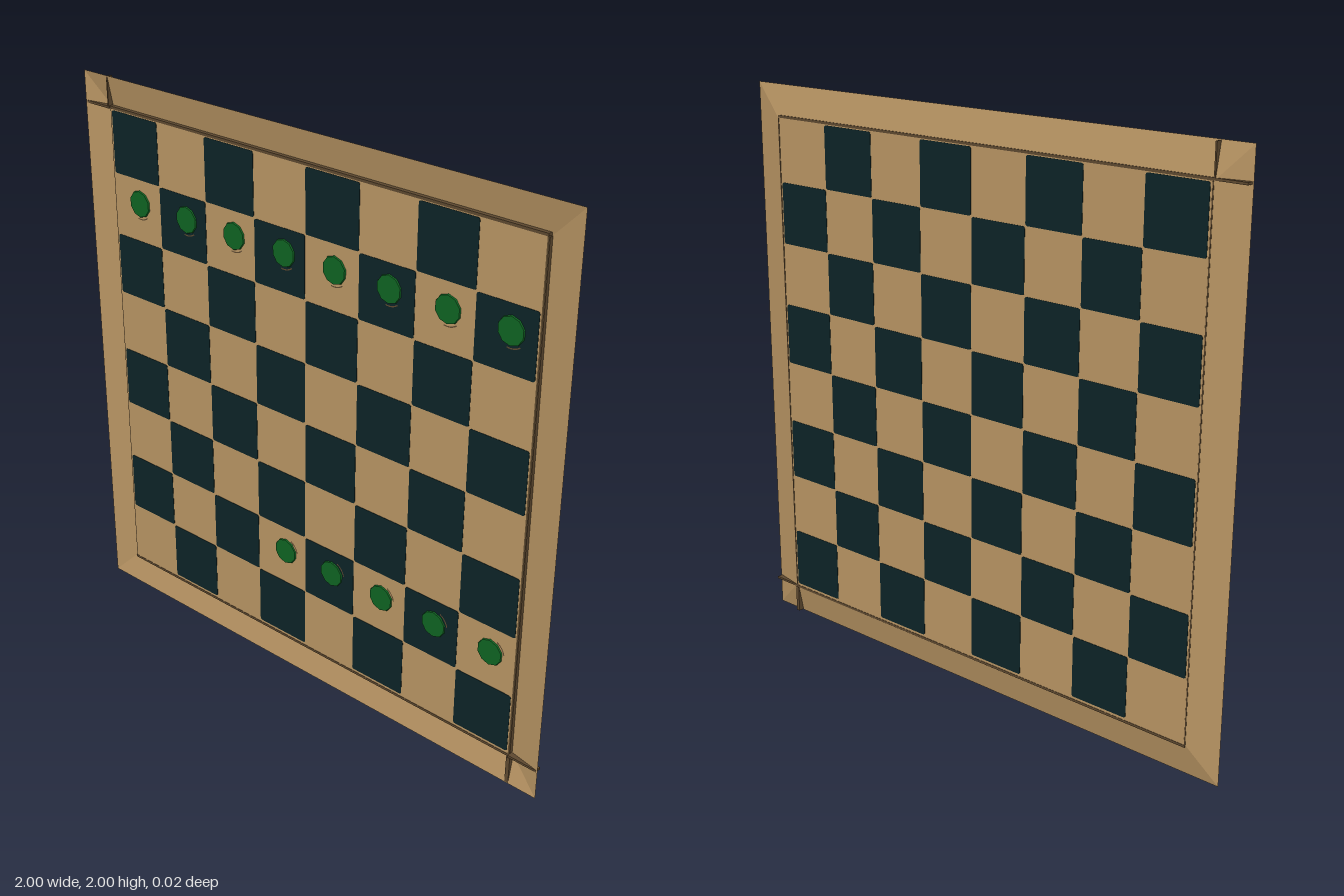
import * as THREE from 'three';

const mat = (name, color, side = THREE.FrontSide) => {
  const m = new THREE.MeshStandardMaterial({ color, side });
  m.name = name;
  return m;
};

export function createModel() {
  const model = new THREE.Group();
  const wood = mat('light wood', 0xba9664);
  const rimWood = mat('rim wood', 0xba9664, THREE.DoubleSide);
  const dark = mat('dark square', 0x0d2427);
  const green = mat('green piece', 0x0f6422);
  const groove = mat('groove brown', 0x5e4930, THREE.DoubleSide);

  const add = (name, geometry, material, x = 0, y = 0, z = 0, parent = model) => {
    const mesh = new THREE.Mesh(geometry, material);
    mesh.name = name;
    mesh.position.set(x, y, z);
    parent.add(mesh);
    return mesh;
  };

  // Thin wooden slab
  add('board', new THREE.BoxGeometry(1.764, 1.776, 0.016), wood, 0, 1, -0.002);

  // Sloping mitred rim: outer edge forward, inner edge back
  const inner = 0.886, zOut = 0.012, zIn = -0.01;
  const rail = new THREE.BufferGeometry();
  rail.setAttribute('position', new THREE.Float32BufferAttribute([
    -inner, inner, zIn, inner, inner, zIn, 1, 1, zOut,
    -inner, inner, zIn, 1, 1, zOut, -1, 1, zOut], 3));
  rail.computeVertexNormals();
  ['topRail', 'leftRail', 'bottomRail', 'rightRail'].forEach((name, i) => {
    add(name, rail, rimWood, 0, 1, 0).rotation.z = -i * Math.PI / 2;
  });

  // Dark joints between slab and rim
  const strip = (name, w, h, d, x, y, z) =>
    add(name, new THREE.BoxGeometry(w, h, d), groove, x, y, z);
  for (const s of [-1, 1]) {
    strip('horizontalGroove', 1.77, 0.009, 0.018, 0, 1 + s * 0.892, -0.002);
    strip('sideGroove', 0.004, 1.77, 0.014, s * 0.885, 1, -0.004);
    strip('cornerGroove', 0.11, 0.008, 0.022, s * -0.94, 1 + s * 0.892, 0.001);
  }
  strip('cornerTick', 0.014, 0.1, 0.022, 0.886, 0.053, 0.001);
  strip('cornerTick', 0.005, 0.1, 0.022, -0.888, 1.947, 0.001);

  // Inlaid dark squares, visible on both faces
  const hw = 0.1085, hh = 0.109, r = 0.008;
  const shape = new THREE.Shape();
  shape.absarc(hw - r, hh - r, r, 0, Math.PI / 2);
  shape.absarc(r - hw, hh - r, r, Math.PI / 2, Math.PI);
  shape.absarc(r - hw, r - hh, r, Math.PI, Math.PI * 1.5);
  shape.absarc(hw - r, r - hh, r, Math.PI * 1.5, Math.PI * 2);
  const square = new THREE.ExtrudeGeometry(shape, { depth: 0.0185, bevelEnabled: false, curveSegments: 3 });
  square.translate(0, 0, -0.01125);
  const squares = new THREE.Group();
  squares.name = 'darkSquares';
  model.add(squares);
  for (let row = 0; row < 8; row++) {
    for (let col = row % 2; col < 8; col += 2) {
      add('darkSquare', square, dark, (col - 3.5) * 0.2193, 1.775 - row * 0.2206, 0, squares);
    }
  }

  // Flat ten-sided playing pieces, each with a small crescent mark beside it
  const disc = new THREE.CylinderGeometry(0.046, 0.048, 0.005, 10).rotateX(Math.PI / 2);
  const columns = [-0.757, -0.53, -0.31, -0.09, 0.122, 0.34, 0.561, 0.786];
  const arc = start => new THREE.RingGeometry(0.053, 0.057, 6, 1, start, 0.9);
  const pieceRow = (name, xs, y, start) => {
    const group = new THREE.Group();
    group.name = name;
    model.add(group);
    xs.forEach(x => {
      add('piece', disc, green, x, y, 0.0093, group);
      add('pieceMark', arc(start), groove, x, y, 0.0082, group);
    });
  };
  pieceRow('upperPieces', columns, 1.58, -1.8);
  pieceRow('lowerPieces', columns.slice(3), 0.47, 0.2);

  return model;
}
